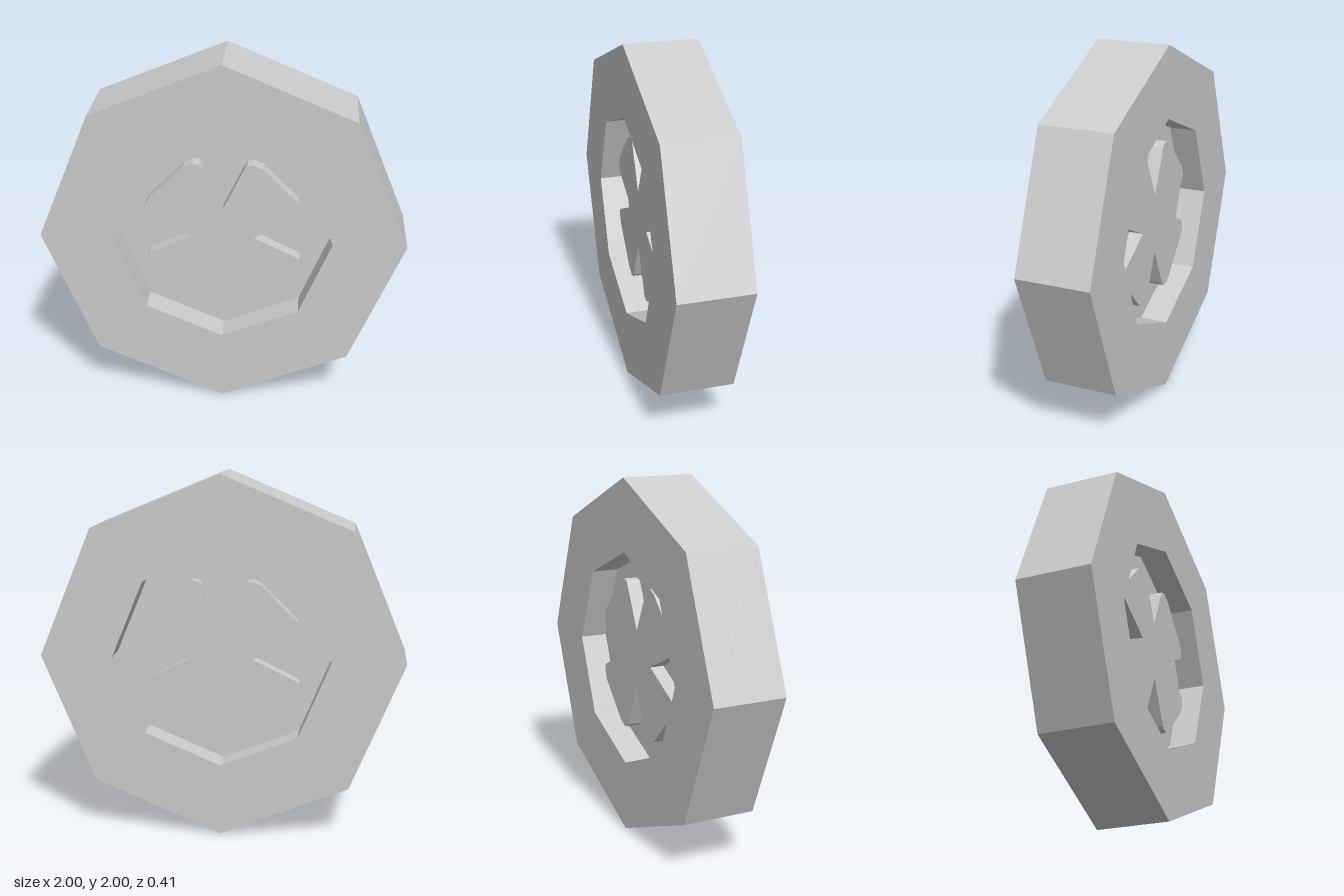
import * as THREE from 'three';

const material = new THREE.MeshStandardMaterial({ color: 0xcccccc, flatShading: true });

// Corner points of an octagon standing on a vertex
function octagon(radius) {
  return Array.from({ length: 8 }, (_, i) => {
    const a = (i * Math.PI) / 4;
    return new THREE.Vector2(radius * Math.cos(a), radius * Math.sin(a));
  });
}

// Extruded slab centred on z = 0
function slab(name, shape, thickness, y) {
  const geometry = new THREE.ExtrudeGeometry(shape, { depth: thickness, bevelEnabled: false });
  geometry.translate(0, y, -thickness / 2);
  const mesh = new THREE.Mesh(geometry, material);
  mesh.name = name;
  return mesh;
}

// Four lobes with V notches between them; each quarter is the first one turned
function cloverShape() {
  const lobe = [
    [0.168, 0], [0.41, 0.117], [0.425, 0.13], [0.432, 0.165], [0.41, 0.215],
    [0.215, 0.41], [0.165, 0.432], [0.13, 0.425], [0.117, 0.41],
  ];
  const points = [];
  for (let q = 0; q < 4; q++) {
    for (const [x, y] of lobe) {
      points.push(new THREE.Vector2(x, y).rotateAround(new THREE.Vector2(), (q * Math.PI) / 2));
    }
  }
  return new THREE.Shape(points);
}

export function createModel() {
  const model = new THREE.Group();
  model.name = 'cloverMedallion';

  // Thick outer ring with an octagonal opening
  const ring = new THREE.Shape(octagon(1));
  ring.holes.push(new THREE.Path(octagon(0.6).reverse()));
  model.add(slab('outerRing', ring, 0.41, 1));

  // Recessed panel, set back from both faces
  model.add(slab('recessedPanel', new THREE.Shape(octagon(0.6)), 0.1, 1));

  // Clover standing proud of the panel on both sides
  model.add(slab('clover', cloverShape(), 0.26, 0.99));

  return model;
}
